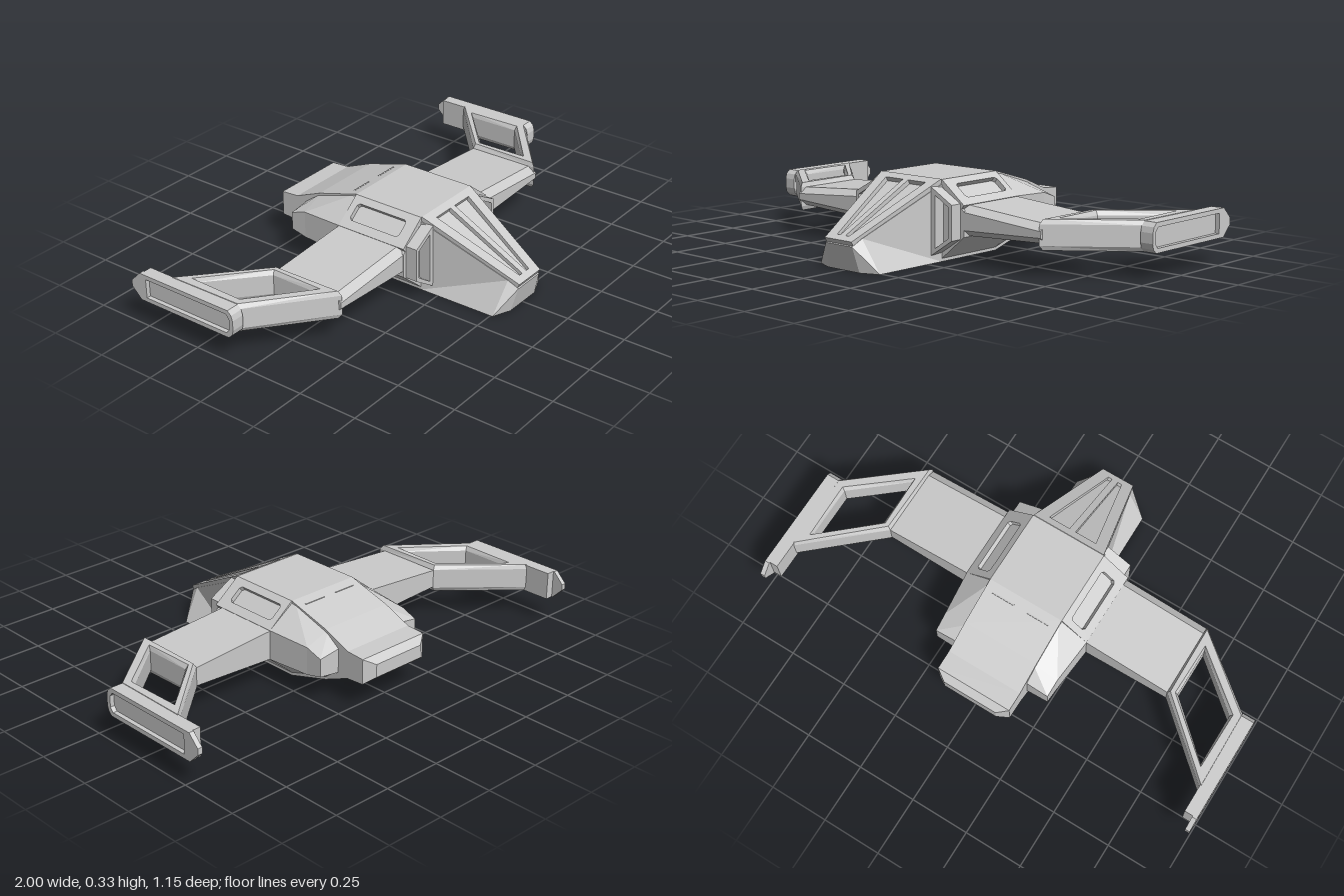
import * as THREE from 'three';

const material = new THREE.MeshStandardMaterial({ color: 0xcccccc, flatShading: true });

// Skin between rings of [x, y, z] points, closed at both ends
function loft(rings) {
  const pos = [];
  const tri = (a, b, c) => pos.push(...a, ...b, ...c);
  const n = rings[0].length;
  for (let s = 0; s < rings.length - 1; s++) {
    for (let j = 0; j < n; j++) {
      const k = (j + 1) % n;
      const p = rings[s][j], q = rings[s][k], p2 = rings[s + 1][j], q2 = rings[s + 1][k];
      // the crease runs from the lower rear to the upper front corner
      if (p[1] <= q[1]) { tri(p, q, q2); tri(p, q2, p2); }
      else { tri(p, q, p2); tri(q, q2, p2); }
    }
  }
  const first = rings[0], last = rings[rings.length - 1];
  for (let j = 1; j < n - 1; j++) {
    tri(first[0], first[j + 1], first[j]);
    tri(last[0], last[j], last[j + 1]);
  }
  const g = new THREE.BufferGeometry();
  g.setAttribute('position', new THREE.Float32BufferAttribute(pos, 3));
  g.computeVertexNormals();
  return g;
}

// Flat plate from an outline with holes
function plate(outline, holes, depth, bevel = 0) {
  const v = (list) => list.map(([x, y]) => new THREE.Vector2(x, y));
  const shape = new THREE.Shape(v(outline));
  holes.forEach((h) => shape.holes.push(new THREE.Path(v(h))));
  return new THREE.ExtrudeGeometry(shape, {
    depth: depth - 2 * bevel, bevelEnabled: bevel > 0, bevelThickness: bevel,
    bevelSize: bevel * 0.6, bevelOffset: -bevel * 0.6, bevelSegments: 1,
  });
}

function mirrorX(geometry) {
  const g = geometry.index ? geometry.toNonIndexed() : geometry.clone();
  const p = g.attributes.position, a = new THREE.Vector3(), b = new THREE.Vector3();
  g.scale(-1, 1, 1);
  for (let i = 0; i < p.count; i += 3) {
    a.fromBufferAttribute(p, i + 1);
    b.fromBufferAttribute(p, i + 2);
    p.setXYZ(i + 1, b.x, b.y, b.z);
    p.setXYZ(i + 2, a.x, a.y, a.z);
  }
  g.computeVertexNormals();
  return g;
}

// Four-cornered ring across the hull
const hullRing = (z, low, wLow, high, wHigh, zHigh = z) =>
  [[-wHigh, high, zHigh], [-wLow, low, z], [wLow, low, z], [wHigh, high, zHigh]];

// Wing ring with a bevelled leading edge
const wingRing = (x, low, high) => [
  [x, low, 0.135], [x, low, -0.15], [x, high, -0.15],
  [x, high, 0.135], [x, high - 0.025, 0.168], [x, low + 0.025, 0.168]];

// Ring across one side pod
const podRing = (z, x, y0, y1, y2, y3) => [[0.15, y0, z], [x, y1, z], [x, y2, z], [0.15, y3, z]];

export function createModel() {
  const group = new THREE.Group();
  const add = (name, geometry) => {
    const mesh = new THREE.Mesh(geometry, material);
    mesh.name = name;
    group.add(mesh);
    return mesh;
  };
  const addPair = (name, geometry) => {
    add(name + 'Left', geometry);
    add(name + 'Right', mirrorX(geometry));
  };

  // Hull and tail
  const w = 0.165;
  add('hull', loft([
    hullRing(-0.57, 0.135, 0.12, 0.19, 0.12),
    hullRing(-0.54, 0.11, w, 0.215, w),
    hullRing(-0.46, 0.105, w, 0.22, w),
    hullRing(-0.34, 0.055, w, 0.27, w),
    hullRing(-0.15, 0, w, 0.325, w),
    hullRing(0.17, 0, w, 0.325, w),
  ]));

  // Nose under the canopy
  add('nose', loft([
    hullRing(0.17, 0, w, 0.306, w),
    hullRing(0.51, 0, 0.162, 0.13, 0.084, 0.525),
    hullRing(0.542, 0, 0.085, 0.102, 0.072, 0.567),
  ]));

  // Canopy frame with two tapering window recesses
  const pane = [[0.014, 0.03], [0.032, 0.03], [0.108, 0.415], [0.014, 0.415]];
  const canopy = plate([[-0.073, 0], [0.073, 0], [0.163, 0.449], [-0.163, 0.449]],
    [pane, pane.map(([x, y]) => [-x, y])], 0.02);
  canopy.translate(0, 0, -0.02).rotateX(-1.097).translate(0, 0.122, 0.571);
  add('canopyFrame', canopy);

  // Side pods
  addPair('podRear', loft([
    podRing(-0.41, 0.26, 0.11, 0.125, 0.2, 0.215),
    podRing(-0.34, 0.262, 0.06, 0.11, 0.225, 0.265),
    podRing(-0.15, 0.28, 0, 0.11, 0.235, 0.325),
  ]));
  addPair('podBody', loft([
    podRing(-0.15, 0.28, 0, 0.11, 0.211, 0.31),
    podRing(0.17, 0.28, 0, 0.11, 0.211, 0.31),
  ]));

  // Sloping pod cover with a recessed hatch
  const cover = plate([[0, -0.16], [0.146, -0.16], [0.146, 0.16], [0, 0.16]],
    [[[0.032, -0.1], [0.042, -0.11], [0.098, -0.11], [0.108, -0.1],
      [0.108, 0.12], [0.098, 0.13], [0.042, 0.13], [0.032, 0.12]]], 0.02);
  cover.translate(0, 0, -0.02).applyMatrix4(new THREE.Matrix4().makeBasis(
    new THREE.Vector3(0.788, -0.616, 0), new THREE.Vector3(0, 0, -1),
    new THREE.Vector3(0.616, 0.788, 0)).setPosition(0.165, 0.325, 0.01));
  addPair('podCover', cover);

  // Intake frames at the front of the pods
  const intake = plate([[0.155, 0.03], [0.262, 0.1], [0.262, 0.24], [0.155, 0.3]],
    [[[0.175, 0.06], [0.247, 0.11], [0.247, 0.228], [0.175, 0.27]]], 0.055);
  addPair('intake', intake.translate(0, 0, 0.165));

  // Wings
  addPair('wing', loft([
    wingRing(0.2, 0.11, 0.235), wingRing(0.28, 0.112, 0.233), wingRing(0.66, 0.13, 0.205),
  ]));

  // Swept outer struts around an opening, drawn as x, -z
  const struts = plate(
    [[0.65, -0.165], [0.955, 0.08], [0.955, 0.42], [0.65, 0.15]],
    [[[0.69, -0.075], [0.905, 0.105], [0.905, 0.33], [0.69, 0.135]]], 0.118, 0.018);
  addPair('wingStruts', struts.rotateX(-Math.PI / 2).translate(0, 0.107 + 0.018, 0));

  // Wing tip fins: pointed outer rim around a recess, with a backing block, drawn as -z, y
  const rim = plate(
    [[0.085, 0.107], [0.53, 0.107], [0.575, 0.152], [0.575, 0.178], [0.53, 0.223],
      [0.085, 0.223], [0.068, 0.207], [0.062, 0.185], [0.062, 0.145], [0.068, 0.123]],
    [[[0.095, 0.125], [0.5, 0.125], [0.5, 0.205], [0.095, 0.205], [0.08, 0.188], [0.08, 0.142]]],
    0.02);
  addPair('tipRim', rim.rotateY(Math.PI / 2).translate(0.98, 0, 0));
  const block = plate(
    [[0.085, 0.107], [0.525, 0.107], [0.525, 0.223], [0.085, 0.223],
      [0.068, 0.207], [0.062, 0.185], [0.062, 0.145], [0.068, 0.123]], [], 0.037);
  addPair('tipBlock', block.rotateY(Math.PI / 2).translate(0.945, 0, 0));

  // Thin seam strips on the rear deck
  addPair('deckSeam', new THREE.BoxGeometry(0.1, 0.004, 0.006).translate(0.08, 0.313, -0.19));

  return group;
}
